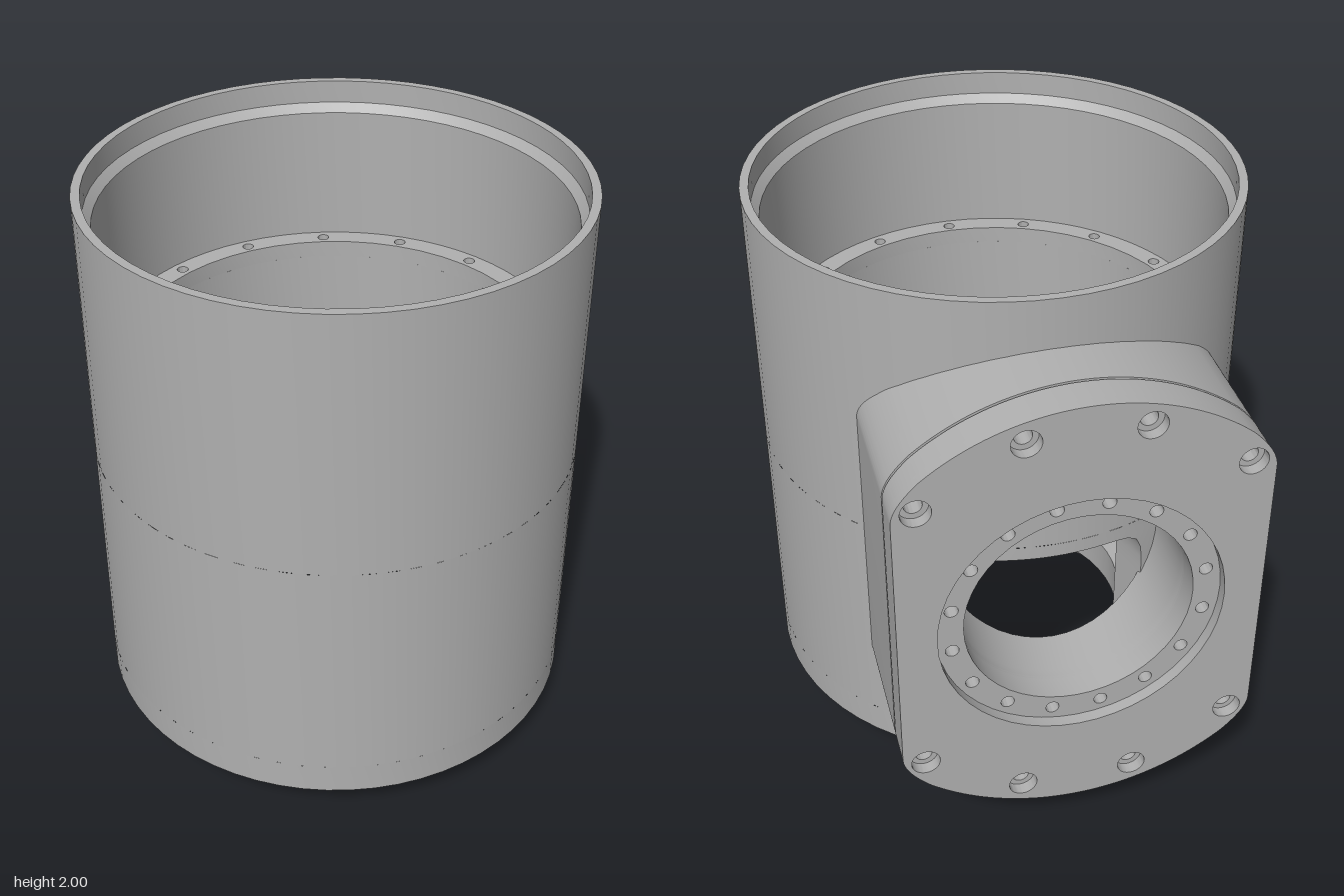
import * as THREE from 'three';
import { toCreasedNormals } from 'three/addons/utils/BufferGeometryUtils.js';

const AXIS_Z = 0.155; // centre of the round body
const PORT_Y = 1.035; // centre of the rear port
const R = 0.83, R_IN = 0.7; // body wall radii

// Skin between closed loops of points
function loft(loops) {
  const n = loops[0].length, pos = [], idx = [];
  loops.forEach(loop => loop.forEach(p => pos.push(p.x, p.y, p.z)));
  for (let i = 0; i < loops.length - 1; i++) {
    for (let j = 0; j < n; j++) {
      const a = i * n + j, b = i * n + (j + 1) % n;
      idx.push(a, b, b + n, a, b + n, a + n);
    }
  }
  const g = new THREE.BufferGeometry();
  g.setAttribute('position', new THREE.Float32BufferAttribute(pos, 3));
  g.setIndex(idx);
  return g;
}

// Circles spread evenly around a pitch circle
function holeRing(count, pitch, r, start = 0) {
  return Array.from({ length: count }, (_, i) => {
    const a = start + (i / count) * Math.PI * 2;
    return [Math.cos(a) * pitch, Math.sin(a) * pitch, r];
  });
}

function slab(shape, holes, z0, z1) {
  const s = shape.clone();
  s.holes = holes.map(([x, y, r]) => new THREE.Path().absarc(x, y, r, 0, Math.PI * 2, false));
  return new THREE.ExtrudeGeometry(s, { depth: z1 - z0, bevelEnabled: false, curveSegments: 24 }).translate(0, 0, z0);
}

// Circle cut flat at both sides, with softened corners
function portOutline(k = 1) {
  const w = 0.585 * k, r = 0.795 * k, x = 0.5 * k, y = Math.sqrt(r * r - x * x);
  const cy = Math.sqrt(r * r - w * w), sy = 0.48 * k, a = Math.atan2(y, x);
  const s = new THREE.Shape();
  s.moveTo(w, -sy);
  s.lineTo(w, sy);
  s.quadraticCurveTo(w, cy, x, y);
  s.absarc(0, 0, r, a, Math.PI - a, false);
  s.quadraticCurveTo(-w, cy, -w, sy);
  s.lineTo(-w, -sy);
  s.quadraticCurveTo(-w, -cy, -x, -y);
  s.absarc(0, 0, r, Math.PI + a, Math.PI * 2 - a, false);
  s.quadraticCurveTo(w, -cy, w, -sy);
  return s;
}

// Rounded window (power 8) or its square frame, bent around the rear of the body
function bentLoop(r, halfAngle, halfHeight, power) {
  return Array.from({ length: 64 }, (_, i) => {
    const t = (i / 64) * Math.PI * 2, c = Math.cos(t), s = Math.sin(t);
    const m = power
      ? Math.pow(Math.abs(c) ** power + Math.abs(s) ** power, 1 / power)
      : Math.max(Math.abs(c), Math.abs(s));
    const a = (c / m) * halfAngle;
    return new THREE.Vector3(r * Math.sin(a), 0.665 + (s / m) * halfHeight, AXIS_Z - r * Math.cos(a));
  });
}

export function createModel() {
  const model = new THREE.Group();
  model.name = 'housing';
  const metal = new THREE.MeshStandardMaterial({ color: 0xb0b0b0 });
  metal.name = 'grey metal';

  const add = (name, geometry, x = 0, y = 0, z = 0) => {
    const mesh = new THREE.Mesh(toCreasedNormals(geometry, 0.5), metal);
    mesh.name = name;
    mesh.position.set(x, y, z);
    model.add(mesh);
  };
  const lathe = (name, pts, start = 0, length = Math.PI * 2) =>
    add(name, new THREE.LatheGeometry(pts.map(p => new THREE.Vector2(...p)), 64, start, length), 0, 0, AXIS_Z);

  // Round body: base with filleted foot, middle band open at the rear, stepped top
  const fillet = [0, 1, 2, 3, 4].map(i => {
    const a = (i / 4) * Math.PI / 2;
    return [0.695 - 0.05 * Math.cos(a), 0.09 + 0.05 * Math.sin(a)];
  });
  lathe('base', [[R_IN, 0.25], [0.68, 0.22], [0.55, 0.22], [0.55, 0], [0.645, 0], ...fillet, [R, 0.14], [R, 0.25]]);
  const gap = 0.5;
  lathe('outerWall', [[R, 0.25], [R, 1.08]], Math.PI + gap, Math.PI * 2 - gap * 2);
  lathe('innerWall', [[R_IN, 1.08], [R_IN, 0.25]], Math.PI + gap, Math.PI * 2 - gap * 2);
  lathe('upperBody', [[R, 1.08], [R, 2], [0.8, 2], [0.8, 1.92], [0.775, 1.89], [0.775, 1.35], [R_IN, 1.35], [R_IN, 1.08]]);

  // Rear wall around the inner window
  const win = r => bentLoop(r, 0.39, 0.365, 8);
  const mid = r => bentLoop(r, 0.44, 0.39, 16);
  const frame = r => bentLoop(r, gap, 0.415, 0);
  add('rearWallOutside', loft([win(R), mid(R), frame(R)]));
  add('rearWallInside', loft([frame(R_IN), mid(R_IN), win(R_IN)]));
  add('windowEdge', loft([win(R_IN), win(R)]));

  // Drilled rings: floor flange and inner shelf
  const ring = (name, outer, inner, y0, y1, holes) => {
    const disc = new THREE.Shape().absarc(0, 0, outer, 0, Math.PI * 2, false);
    add(name, slab(disc, [[0, 0, inner], ...holes], y0, y1).rotateX(-Math.PI / 2), 0, 0, AXIS_Z);
  };
  ring('floorFlange', 0.552, 0.48, 0.08, 0.22, holeRing(6, 0.515, 0.02));
  ring('innerShelf', 0.776, R_IN, 1.35, 1.41, holeRing(16, 0.735, 0.02));

  // Rear port block, its walls ending on the round body
  const outline = portOutline().getPoints(24).slice(0, -1);
  const bore = Array.from({ length: 48 }, (_, i) => {
    const a = (i / 48) * Math.PI * 2;
    return new THREE.Vector2(0.37 * Math.cos(a), 0.37 * Math.sin(a));
  });
  const atZ = (pts, z) => pts.map(p => new THREE.Vector3(p.x, p.y, z));
  const onBody = pts => pts.map(p => new THREE.Vector3(p.x, p.y, AXIS_Z - Math.sqrt(0.815 ** 2 - p.x ** 2)));
  add('portBlock', loft([atZ(outline, -0.82), onBody(outline)]), 0, PORT_Y);
  add('portBore', loft([onBody(bore), atZ(bore, -0.82)]), 0, PORT_Y);
  add('portBlockEnd', slab(portOutline(), [[0, 0, 0.37]], -0.85, -0.82), 0, PORT_Y);
  add('seam', slab(portOutline(0.985), [[0, 0, 0.37]], -0.86, -0.85), 0, PORT_Y);

  // Cover plate with eight bolt holes and a recessed drilled ring
  const bolts = r => [45, 75, 105, 135, 225, 255, 285, 315].map(d => {
    const a = THREE.MathUtils.degToRad(d);
    return [0.722 * Math.cos(a), 0.722 * Math.sin(a), r];
  });
  add('coverInner', slab(portOutline(), [[0, 0, 0.37], ...bolts(0.028), ...holeRing(16, 0.415, 0.022, Math.PI / 16)], -0.945, -0.86), 0, PORT_Y);
  add('coverOuter', slab(portOutline(), [[0, 0, 0.46], ...bolts(0.047)], -0.985, -0.945), 0, PORT_Y);

  // Slotted tab under the rear edge
  for (const [x0, x1] of [[-0.27, -0.04], [-0.02, 0.04]]) {
    add('rearTab', new THREE.BoxGeometry(x1 - x0, 0.14, 0.2), (x0 + x1) / 2, 0.07, -0.55);
  }
  return model;
}
